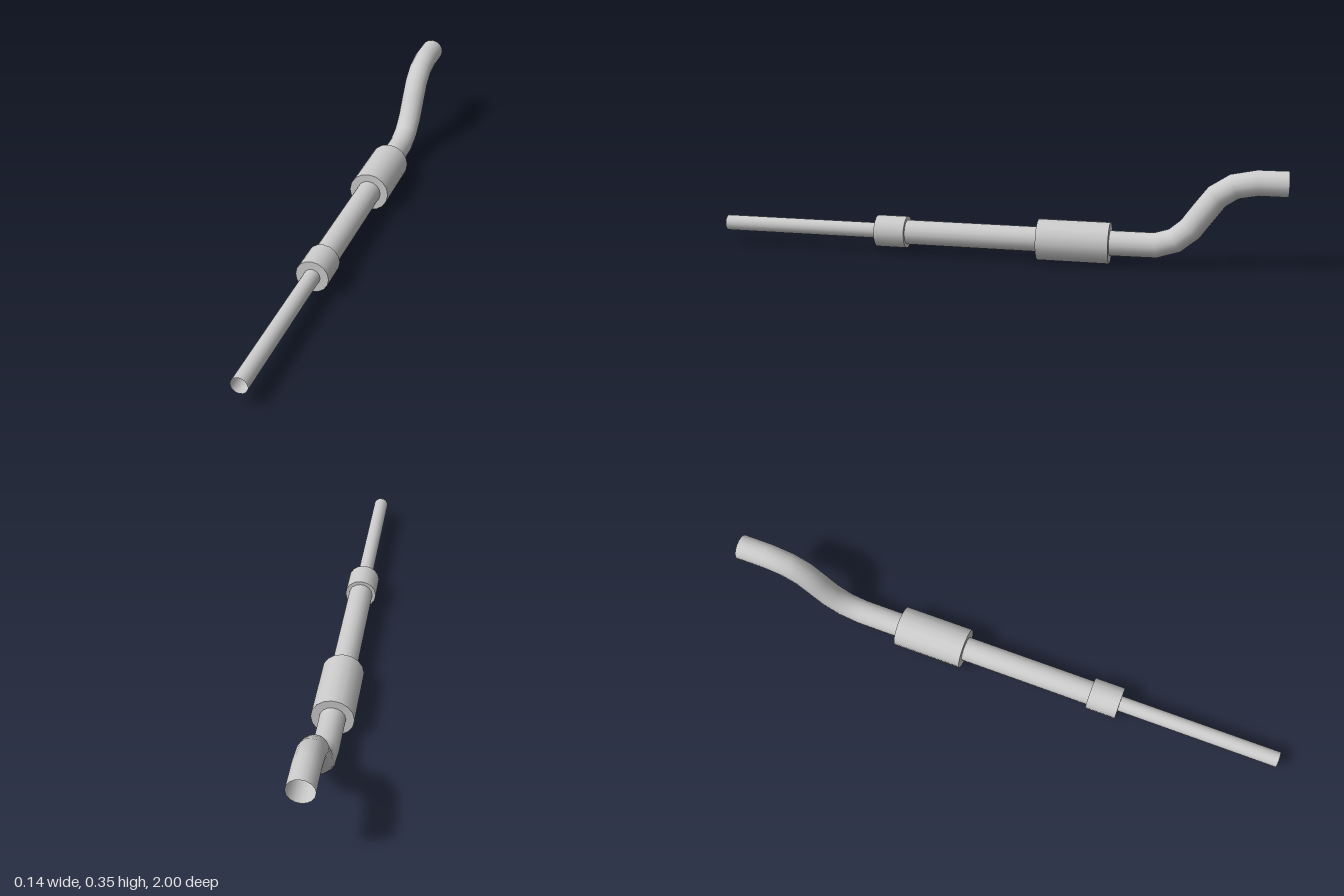
import * as THREE from 'three';
import { mergeGeometries } from 'three/addons/utils/BufferGeometryUtils.js';

const SIDES = 16;
const AXIS = 0.0725; // height of the straight run

const material = new THREE.MeshStandardMaterial({ color: 0xcccccc, side: THREE.DoubleSide });

// Open round pipe through [z, y] points in the x = 0 plane, mitred at each bend
function pipe(name, radius, path) {
  const pts = path.map(([z, y]) => new THREE.Vector3(0, y, z));
  const positions = [], normals = [], index = [];
  pts.forEach((p, i) => {
    const before = pts[Math.max(i - 1, 0)], after = pts[Math.min(i + 1, pts.length - 1)];
    const dirIn = p.clone().sub(before).normalize();
    const dirOut = after.clone().sub(p).normalize();
    const t = dirIn.add(dirOut).normalize();
    const up = new THREE.Vector3(0, -t.z, t.y);
    for (let j = 0; j <= SIDES; j++) {
      const a = (j / SIDES) * Math.PI * 2;
      const n = up.clone().multiplyScalar(Math.cos(a));
      n.x = Math.sin(a);
      normals.push(n.x, n.y, n.z);
      positions.push(n.x * radius, p.y + n.y * radius, p.z + n.z * radius);
      if (i > 0 && j < SIDES) {
        const b = i * (SIDES + 1) + j, c = b - SIDES - 1;
        index.push(c, c + 1, b, b, c + 1, b + 1);
      }
    }
  });
  const geo = new THREE.BufferGeometry();
  geo.setAttribute('position', new THREE.Float32BufferAttribute(positions, 3));
  geo.setAttribute('normal', new THREE.Float32BufferAttribute(normals, 3));
  geo.setIndex(index);
  const mesh = new THREE.Mesh(geo, material);
  mesh.name = name;
  return mesh;
}

// Wider sleeve with ring-shaped end faces that close onto the pipes
function sleeve(name, radius, zFront, zBack, boreFront, boreBack) {
  const length = zFront - zBack;
  const wall = new THREE.CylinderGeometry(radius, radius, length, SIDES, 1, true).rotateX(Math.PI / 2);
  const front = new THREE.RingGeometry(boreFront, radius, SIDES).translate(0, 0, length / 2);
  const back = new THREE.RingGeometry(boreBack, radius, SIDES).rotateY(Math.PI).translate(0, 0, -length / 2);
  const mesh = new THREE.Mesh(mergeGeometries([wall, front, back]), material);
  mesh.position.set(0, AXIS, (zFront + zBack) / 2);
  mesh.name = name;
  return mesh;
}

export function createModel() {
  const group = new THREE.Group();
  group.name = 'exhaustPipe';
  group.add(
    pipe('thinPipe', 0.028, [[1, AXIS], [0.42, AXIS]]),
    sleeve('coupling', 0.057, 0.42, 0.31, 0.028, 0.044),
    pipe('middlePipe', 0.044, [[0.31, AXIS], [-0.165, AXIS]]),
    sleeve('muffler', 0.0725, -0.165, -0.415, 0.044, 0.044),
    // S-bend rising to the rear outlet
    pipe('bentTailPipe', 0.044, [
      [-0.415, AXIS], [-0.57, AXIS + 0.001], [-0.635, 0.094], [-0.685, 0.136],
      [-0.727, 0.195], [-0.77, 0.253], [-0.825, 0.289], [-0.9, 0.304], [-1, 0.304],
    ]),
  );
  return group;
}
